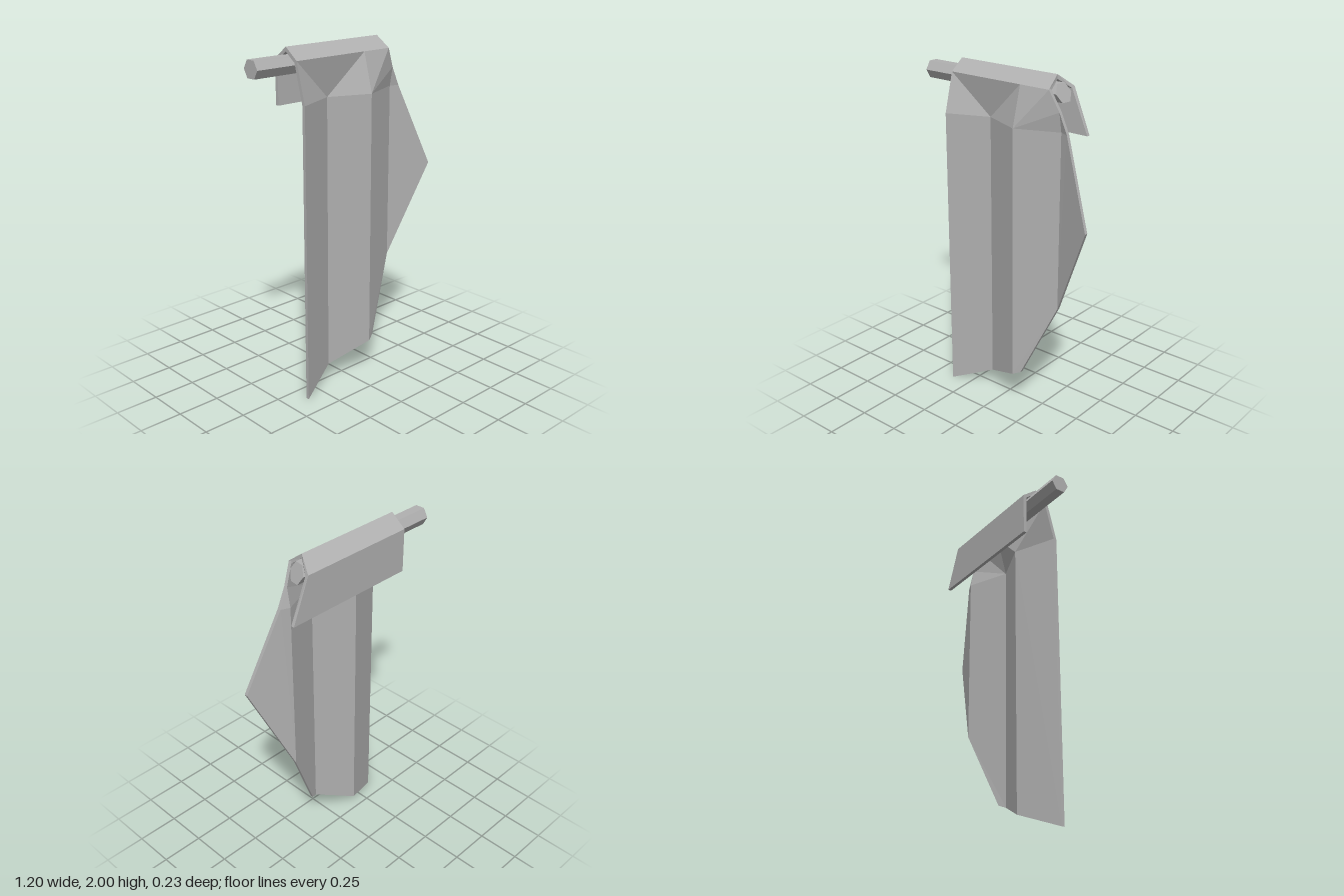
import * as THREE from 'three';

// Thin faceted shell: outer points, matching inner points, and polygon panels.
// Rim walls are added along every edge used by only one panel.
function shell(outer, inner, panels) {
  const pos = [];
  const tri = (a, b, c) => pos.push(...a, ...b, ...c);
  const edges = new Set();
  for (const p of panels) {
    for (let i = 1; i < p.length - 1; i++) {
      tri(outer[p[0]], outer[p[i]], outer[p[i + 1]]);
      tri(inner[p[0]], inner[p[i + 1]], inner[p[i]]);
    }
    p.forEach((v, i) => edges.add(v + '_' + p[(i + 1) % p.length]));
  }
  for (const e of edges) {
    const [a, b] = e.split('_').map(Number);
    if (edges.has(b + '_' + a)) continue;
    tri(outer[a], inner[a], inner[b]);
    tri(outer[a], inner[b], outer[b]);
  }
  const g = new THREE.BufferGeometry();
  g.setAttribute('position', new THREE.Float32BufferAttribute(pos, 3));
  g.computeVertexNormals();
  return g;
}

export function createModel() {
  const group = new THREE.Group();
  const grey = new THREE.MeshStandardMaterial({ color: 0xb0b0b0 });
  grey.name = 'plain grey';
  const add = (name, geometry) => {
    const m = new THREE.Mesh(geometry, grey);
    m.name = name;
    group.add(m);
  };

  // Pleated hanging cloth with a torn lower and right edge
  const cloth = [
    [-0.37, 0, 0.12], [-0.125, 0.1, 0.02], [0.115, 0.21, 0.12], // lower edge
    [0.16, 0.23, 0.1], [0.36, 0.68, 0.02], [0.6, 1.23, 0.12],
    [-0.37, 1.71, 0.12], [-0.125, 1.71, 0.02], [0.115, 1.71, 0.12], // top of pleats
    [0.36, 1.71, 0.02], [0.41, 1.71, 0.04], [0.36, 1.82, 0.04],
    [-0.37, 1.935, 0.06], [0.115, 1.935, 0.06], [0.305, 1.935, 0.06], // gathered straight
  ];
  add('pleatedCloth', shell(cloth, cloth.map(([x, y, z]) => [x, y, z - 0.02]), [
    [0, 1, 7, 6], [1, 2, 8, 7], [2, 3, 4, 9, 8], [4, 5, 10, 9],
    [6, 7, 12], [7, 13, 12], [7, 8, 13], [8, 14, 13], [8, 11, 14], [8, 9, 11], [9, 10, 11],
  ]));

  // Fold over the pole and short back flap: right end x, outer y z, inner y z
  const fold = [
    [0.305, 1.935, 0.06, 1.925, 0.04],
    [0.295, 2.0, -0.025, 1.975, -0.025],
    [0.34, 1.93, -0.115, 1.92, -0.095],
    [0.445, 1.68, -0.115, 1.68, -0.095],
  ];
  const outer = [], inner = [], panels = [];
  fold.forEach(([x, y, z, yi, zi], i) => {
    outer.push([-0.37, y, z], [x, y, z]);
    inner.push([-0.37, yi, zi], [x, yi, zi]);
    if (i < 3) panels.push([2 * i, 2 * i + 1, 2 * i + 3, 2 * i + 2]);
  });
  add('foldedTop', shell(outer, inner, panels));

  // Six-sided pole, cut at a slant on the broken end
  const rod = new THREE.CylinderGeometry(0.055, 0.055, 1, 6).toNonIndexed();
  rod.rotateZ(-Math.PI / 2);
  const p = rod.attributes.position;
  for (let i = 0; i < p.count; i++) {
    const y = p.getY(i), z = p.getZ(i);
    p.setX(i, p.getX(i) < 0 ? -0.6 : 0.335 - 0.4 * y - 0.15 * z);
  }
  rod.translate(0, 1.908, -0.027);
  rod.computeVertexNormals();
  add('pole', rod);

  return group;
}
